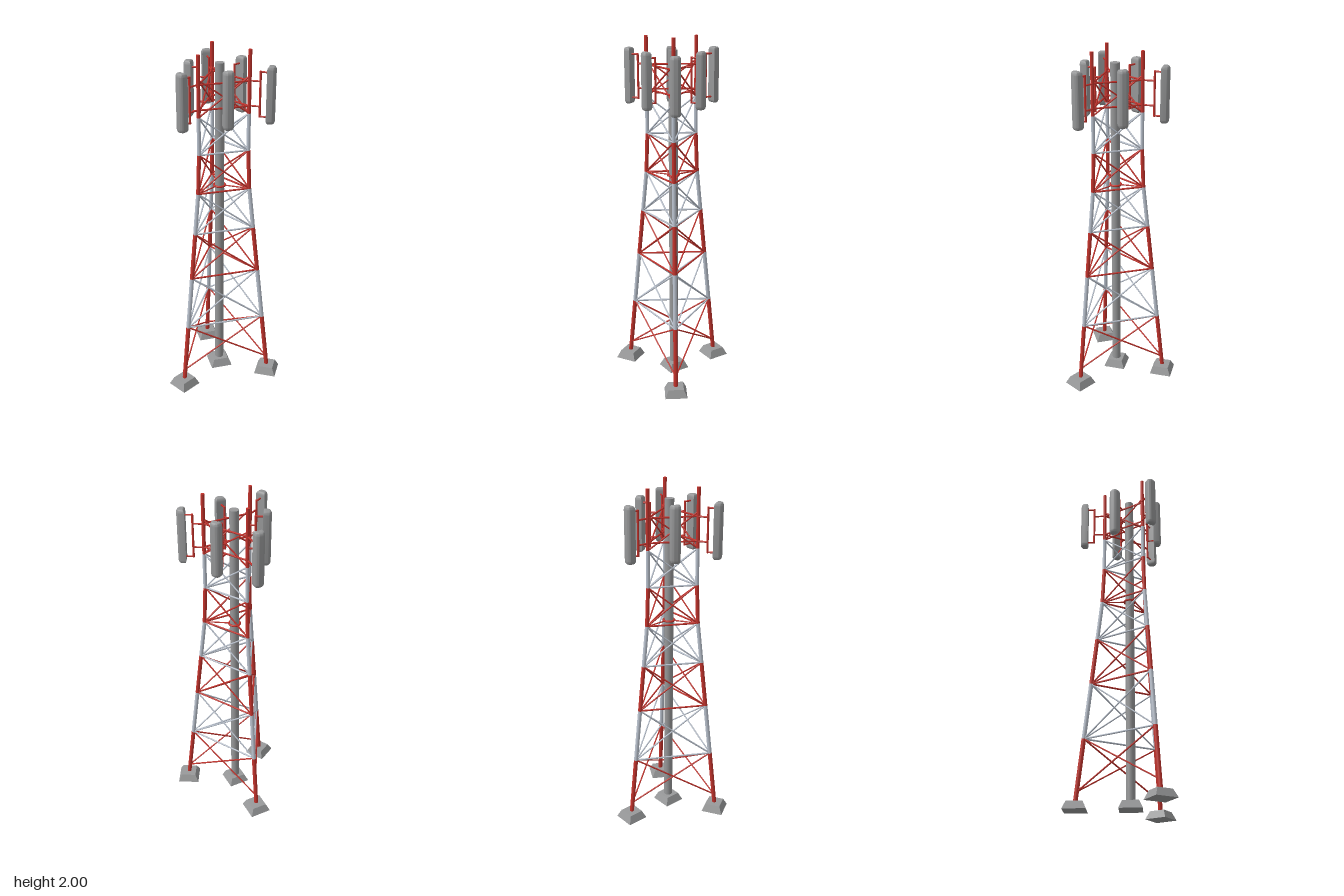
import * as THREE from 'three';
import { toCreasedNormals } from 'three/addons/utils/BufferGeometryUtils.js';

const makeMaterial = (name, color) => {
  const m = new THREE.MeshStandardMaterial({ color });
  m.name = name;
  return m;
};

export function createModel() {
  const red = makeMaterial('red paint', 0xc4332c);
  const white = makeMaterial('pale steel', 0xbcc4d0);
  const grey = makeMaterial('grey casing', 0x979899);
  const concrete = makeMaterial('concrete', 0x999a9b);

  const tower = new THREE.Group();
  tower.name = 'latticeTower';
  const CZ = 0.063, POLE_Z = 0.057;
  const legAngles = [Math.PI, Math.PI / 3, -Math.PI / 3];

  const add = (parent, name, geo, mat) => {
    const mesh = new THREE.Mesh(geo, mat);
    mesh.name = name;
    parent.add(mesh);
    return mesh;
  };
  // Round bar between two points
  const bar = (parent, name, a, b, r, mat, sides = 6) => {
    const d = new THREE.Vector3().subVectors(b, a);
    const mesh = add(parent, name, new THREE.CylinderGeometry(r, r, d.length(), sides), mat);
    mesh.position.copy(a).addScaledVector(d, 0.5);
    mesh.quaternion.setFromUnitVectors(new THREE.Vector3(0, 1, 0), d.normalize());
    return mesh;
  };
  // Point at an angle and radius around a vertical axis
  const polar = (a, r, y, cz = CZ) => new THREE.Vector3(Math.sin(a) * r, y, cz + Math.cos(a) * r);
  // Tower radius: tapering below, nearly straight above
  const radiusAt = (y) => y < 1.225 ? 0.3 - (y - 0.04) * 0.1114
    : 0.168 - 0.01 * Math.min((y - 1.225) / 0.225, 1);
  const corner = (i, y) => polar(legAngles[i % 3], radiusAt(y), y);

  // Tapered concrete footings
  const footing = (name, x, z, turn) => {
    const geo = new THREE.CylinderGeometry(0.044 * Math.SQRT2, 0.0635 * Math.SQRT2, 0.045, 4)
      .toNonIndexed().rotateY(Math.PI / 4);
    geo.computeVertexNormals();
    const mesh = add(tower, name, geo, concrete);
    mesh.position.set(x, 0.0225, z);
    mesh.rotation.y = turn;
  };
  legAngles.forEach((a) => {
    const p = polar(a, 0.301, 0);
    footing('legFooting', p.x, p.z, a);
  });
  footing('poleFooting', 0, POLE_Z, 0);

  // Central pole
  bar(tower, 'centralPole', new THREE.Vector3(0, 0.04, POLE_Z), new THREE.Vector3(0, 1.92, POLE_Z),
    0.0255, grey, 24);

  // Painted bands of legs with crossed bracing
  const levels = [0.04, 0.39, 0.71, 0.985, 1.225, 1.45, 1.66, 1.86];
  for (let k = 0; k < levels.length - 1; k++) {
    const y0 = levels[k], y1 = levels[k + 1];
    const mat = k % 2 ? white : red;
    const section = new THREE.Group();
    section.name = 'section' + (k + 1);
    tower.add(section);
    const low = k === 0 ? 0.1 : y0;
    const legR = 0.0125 - k * 0.0004;
    for (let i = 0; i < 3; i++) {
      const top = k === 6 ? (i === 1 ? 2 : 1.99) : y1;
      bar(section, 'leg', corner(i, y0), corner(i, top), legR, mat, 10);
      bar(section, 'brace', corner(i, low), corner(i + 1, y1), 0.0045, mat);
      bar(section, 'brace', corner(i + 1, low), corner(i, y1), 0.0045, mat);
      if (k < 5) bar(section, 'crossbar', corner(i, y1), corner(i + 1, y1), 0.005, k % 2 ? red : white);
    }
  }

  // Collar tying the pole to the legs
  const collar = new THREE.Group();
  collar.name = 'poleCollar';
  tower.add(collar);
  const ring = add(collar, 'collarRing', new THREE.TorusGeometry(0.031, 0.006, 8, 24), red);
  ring.rotation.x = Math.PI / 2;
  ring.position.set(0, 1.225, POLE_Z);
  legAngles.forEach((a, i) =>
    bar(collar, 'spoke', polar(a, 0.03, 1.225, POLE_Z), corner(i, 1.225), 0.004, red));

  // Mounting rails around the head
  for (const y of [1.7, 1.835])
    for (let i = 0; i < 3; i++) bar(tower, 'headRail', corner(i, y), corner(i + 1, y), 0.005, red);

  // D-shaped antenna casing with rounded ends, flat side towards the tower
  const bevel = 0.012;
  const w = 0.028 - bevel;
  const section = new THREE.Shape();
  section.moveTo(-w, 0.022 - bevel);
  section.lineTo(w, 0.022 - bevel);
  section.lineTo(w, 0);
  section.absellipse(0, 0, w, 0.022 - bevel, 0, -Math.PI, true);
  section.closePath();
  const casing = toCreasedNormals(new THREE.ExtrudeGeometry(section, {
    depth: 0.27, bevelEnabled: true, bevelSize: bevel, bevelThickness: 0.02,
    bevelSegments: 5, curveSegments: 16,
  }).rotateX(-Math.PI / 2).rotateY(Math.PI).translate(0, -0.135, 0), 0.7);
  // rotateY turns the flat side; flip again so that the curve faces +z
  casing.rotateY(Math.PI);

  // Six antennas: one outside each leg, one outside each face
  for (let n = 0; n < 6; n++) {
    const a = n * Math.PI / 3;
    const onLeg = n % 2 === 1;
    const dist = onLeg ? 0.277 : 0.172;
    const antenna = new THREE.Group();
    antenna.name = onLeg ? 'legAntenna' : 'faceAntenna';
    antenna.position.set(0, 0, POLE_Z);
    antenna.rotation.y = a;
    tower.add(antenna);
    const panel = add(antenna, 'antennaPanel', casing, grey);
    panel.position.set(0, 1.766, dist);
    const P = (y, z) => new THREE.Vector3(0, y, z);
    const pipe = dist - 0.06;
    bar(antenna, 'mountPipe', P(1.64, pipe), P(1.89, pipe), 0.006, red, 8);
    for (const y of [1.645, 1.885]) bar(antenna, 'panelBracket', P(y, pipe), P(y, dist - 0.01), 0.005, red);
    for (const y of [1.7, 1.835]) bar(antenna, 'mountArm', P(y, onLeg ? 0.15 : 0.08), P(y, pipe), 0.005, red);
  }
  return tower;
}
